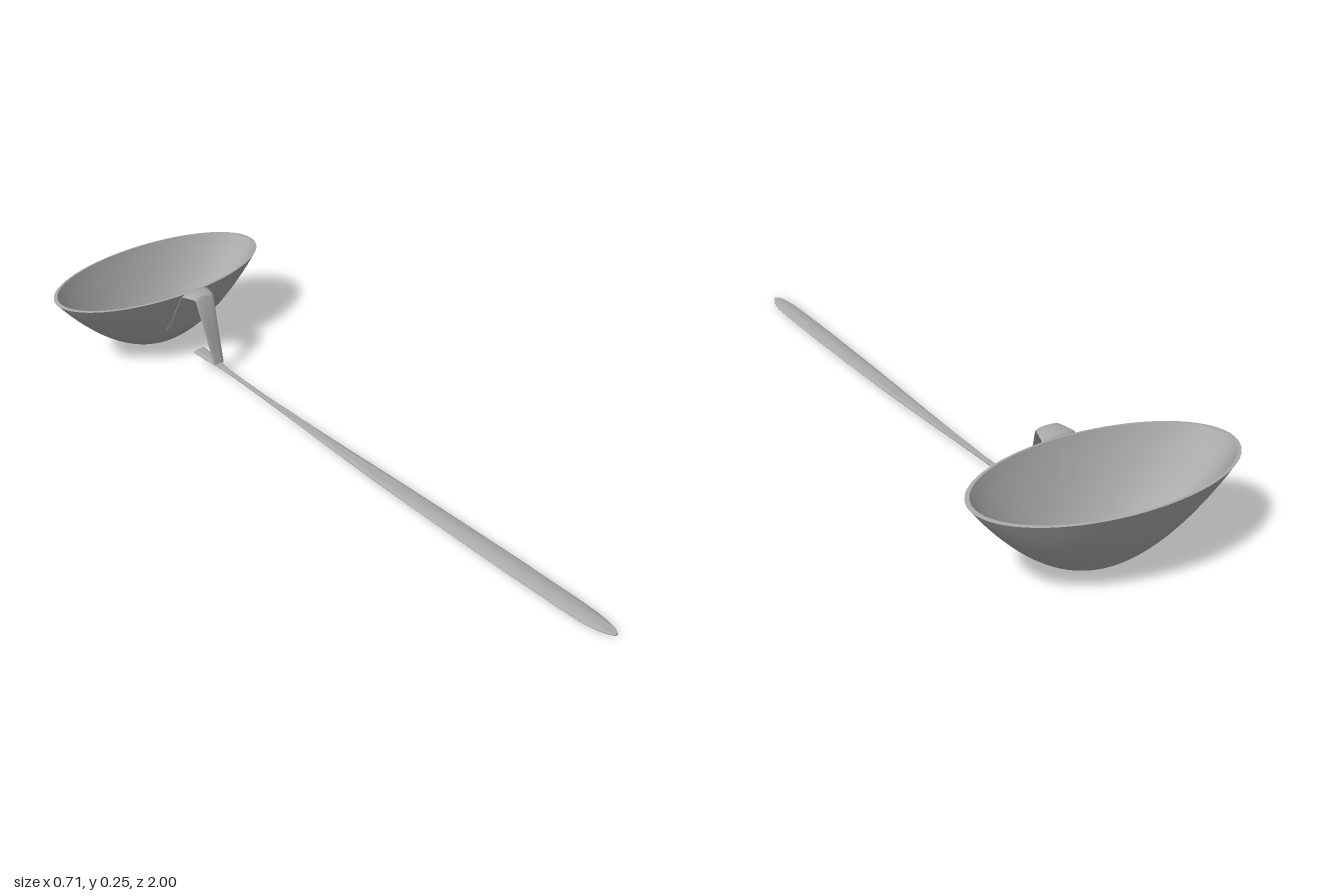
import * as THREE from 'three';
import { toCreasedNormals } from 'three/addons/utils/BufferGeometryUtils.js';

// Lofts a flat bar along the yz plane.
// Stations: [z, y, half width, half thickness, sideways arch]
function bar(stations, sides = 24) {
  const pos = [], index = [];
  const count = stations.length;
  const squash = (v) => Math.sign(v) * Math.pow(Math.abs(v), 0.7);
  stations.forEach(([z, y, w, t, arch], i) => {
    const a = stations[Math.max(i - 1, 0)], b = stations[Math.min(i + 1, count - 1)];
    const len = Math.hypot(b[0] - a[0], b[1] - a[1]);
    const tz = (b[0] - a[0]) / len, ty = (b[1] - a[1]) / len;
    for (let j = 0; j < sides; j++) {
      const angle = (j / sides) * Math.PI * 2;
      const u = squash(Math.cos(angle));
      const n = t * squash(Math.sin(angle)) - arch * u * u;
      pos.push(w * u, y + tz * n, z - ty * n);
    }
  });
  for (let i = 0; i < count - 1; i++) {
    for (let j = 0; j < sides; j++) {
      const a = i * sides + j, b = i * sides + (j + 1) % sides;
      index.push(a, b, a + sides, b, b + sides, a + sides);
    }
  }
  // End caps, as strips between the upper and lower halves
  const last = (count - 1) * sides;
  for (let j = 0; j < sides / 2; j++) {
    const a = j, b = j + 1, c = (sides - j) % sides, d = sides - j - 1;
    index.push(a, c, b, b, c, d);
    index.push(last + a, last + b, last + c, last + b, last + d, last + c);
  }
  const g = new THREE.BufferGeometry();
  g.setAttribute('position', new THREE.Float32BufferAttribute(pos, 3));
  g.setIndex(index);
  return toCreasedNormals(g, 0.8);
}

export function createModel() {
  const group = new THREE.Group();
  const steel = new THREE.MeshStandardMaterial({ color: 0xaaaaaa });
  steel.name = 'steel';
  const add = (name, geometry) => {
    const mesh = new THREE.Mesh(geometry, steel);
    mesh.name = name;
    group.add(mesh);
    return mesh;
  };

  // Oval bowl: outer wall, narrow rim, inner wall
  const profile = [];
  const steps = 24;
  for (let i = 0; i <= steps; i++) {
    const t = i / steps;
    profile.push(new THREE.Vector2(0.355 * t, 0.005 + 0.24 * Math.pow(t, 1.95)));
  }
  profile.push(new THREE.Vector2(0.343, 0.246));
  for (let i = steps - 1; i >= 0; i--) {
    const t = i / steps;
    profile.push(new THREE.Vector2(0.343 * t, 0.011 + 0.232 * Math.pow(t, 1.95)));
  }
  const bowl = new THREE.LatheGeometry(profile, 72);
  bowl.scale(1, 1, 0.182 / 0.355);
  add('bowl', toCreasedNormals(bowl, 0.7)).position.z = -0.818;

  // Long handle, flaring slightly under the bracket
  add('handle', bar([
    [-0.625, 0.048, 0.021, 0.004, 0.003],
    [-0.58, 0.045, 0.018, 0.004, 0.003],
    [-0.53, 0.041, 0.012, 0.004, 0.001],
    [-0.48, 0.037, 0.008, 0.004, 0],
    [-0.4, 0.033, 0.007, 0.004, 0],
    [-0.3, 0.029, 0.008, 0.004, 0],
    [-0.15, 0.025, 0.012, 0.004, 0.001],
    [0, 0.021, 0.017, 0.004, 0.002],
    [0.2, 0.018, 0.024, 0.004, 0.003],
    [0.4, 0.016, 0.028, 0.004, 0.004],
    [0.65, 0.014, 0.031, 0.004, 0.005],
    [0.85, 0.012, 0.03, 0.004, 0.005],
    [0.92, 0.011, 0.028, 0.004, 0.005],
    [0.96, 0.01, 0.022, 0.004, 0.003],
    [0.985, 0.01, 0.014, 0.004, 0.001],
    [1, 0.009, 0.005, 0.003, 0],
  ]));

  // Bracket: up the inside of the bowl, over the rim and down to the handle
  add('bracket', bar([
    [-0.702, 0.1, 0.064, 0.005, -0.007],
    [-0.685, 0.136, 0.06, 0.004, -0.002],
    [-0.665, 0.18, 0.055, 0.004, 0.002],
    [-0.645, 0.225, 0.05, 0.004, 0.005],
    [-0.637, 0.243, 0.048, 0.004, 0.007],
    [-0.63, 0.25, 0.047, 0.004, 0.007],
    [-0.605, 0.251, 0.04, 0.004, 0.006],
    [-0.585, 0.249, 0.034, 0.004, 0.003],
    [-0.579, 0.242, 0.032, 0.003, 0.001],
    [-0.555, 0.15, 0.025, 0.003, 0],
    [-0.526, 0.042, 0.018, 0.003, 0],
  ]));

  return group;
}
